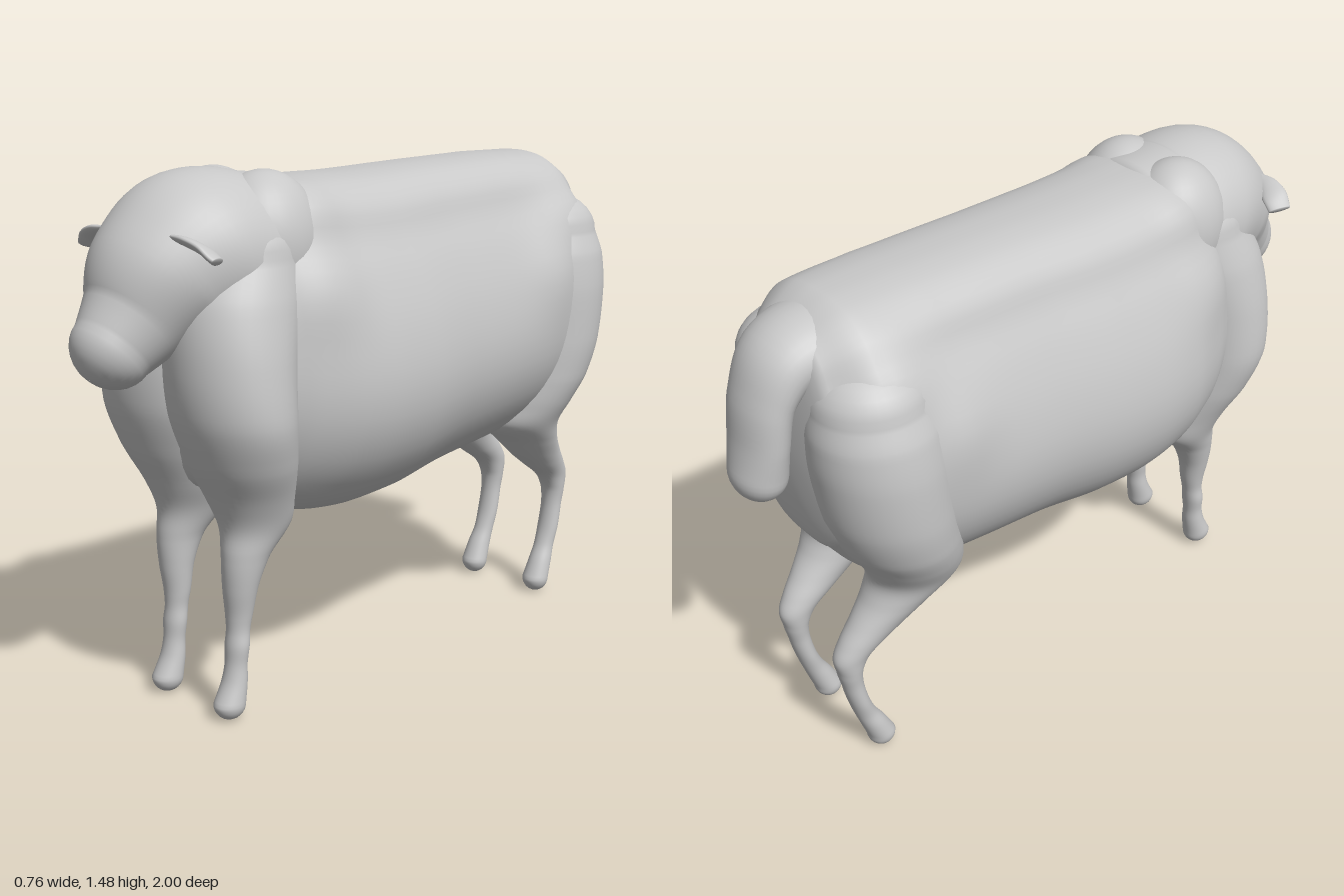
import * as THREE from 'three';

const X = new THREE.Vector3(1, 0, 0);
const Y = new THREE.Vector3(0, 1, 0);
const Z = new THREE.Vector3(0, 0, 1);

// Half outline of the trunk section, bottom to top: broad ribs, narrower back ridge
const trunkHalf = [
  [0, -1], [0.42, -0.957], [0.77, -0.72], [0.95, -0.45], [1, -0.17], [0.94, 0.15],
  [0.8, 0.45], [0.66, 0.66], [0.57, 0.83], [0.4, 0.945], [0.2, 0.99], [0, 1],
];

function ellipse(n) {
  return Array.from({ length: n }, (_, i) => {
    const a = (i / n) * Math.PI * 2;
    return [Math.cos(a), Math.sin(a)];
  });
}

function trunkSection(n) {
  const left = trunkHalf.slice(1, -1).reverse().map(([x, y]) => [-x, y]);
  const pts = [...trunkHalf, ...left].map(([x, y]) => new THREE.Vector3(x, y, 0));
  const curve = new THREE.CatmullRomCurve3(pts, true);
  return Array.from({ length: n }, (_, i) => {
    const p = curve.getPoint(i / n);
    return [p.x, p.y];
  });
}

// Smooth skin over stations [x, y, z, sideRadius, otherRadius], with domed ends.
// Sections face along the path, or along a fixed axis if one is given.
function loft(stations, { section = ellipse(32), side = X, axis = null, caps = [0.05, 0.05], steps = 6 } = {}) {
  const path = new THREE.CatmullRomCurve3(stations.map((s) => new THREE.Vector3(s[0], s[1], s[2])));
  const size = new THREE.CatmullRomCurve3(stations.map((s) => new THREE.Vector3(s[3], s[4], 0)));
  const count = (stations.length - 1) * steps;
  const domeSteps = 8;
  const rings = [];
  const addRing = (t, offset, scale) => {
    const dir = axis ?? path.getTangent(t);
    const up = dir.clone().cross(side).normalize();
    const across = up.clone().cross(dir);
    const centre = path.getPoint(t).addScaledVector(dir, offset);
    const r = size.getPoint(t).multiplyScalar(scale);
    rings.push(section.map(([u, v]) =>
      centre.clone().addScaledVector(across, u * r.x).addScaledVector(up, v * r.y)));
  };
  for (let k = domeSteps; k > 0; k--) {
    const a = (k / domeSteps) * 1.565;
    addRing(0, -caps[0] * Math.sin(a), Math.cos(a));
  }
  for (let i = 0; i <= count; i++) addRing(i / count, 0, 1);
  for (let k = 1; k <= domeSteps; k++) {
    const a = (k / domeSteps) * 1.565;
    addRing(1, caps[1] * Math.sin(a), Math.cos(a));
  }
  const m = section.length;
  const index = [];
  for (let i = 0; i < rings.length - 1; i++) {
    for (let j = 0; j < m; j++) {
      const a = i * m + j;
      const b = i * m + ((j + 1) % m);
      index.push(a, b, a + m, b, b + m, a + m);
    }
  }
  const geometry = new THREE.BufferGeometry().setFromPoints(rings.flat());
  geometry.setIndex(index);
  geometry.computeVertexNormals();
  return geometry;
}

// Push the skin outward around mirrored points [x, y, z, radius, amount]
function swell(geometry, spots) {
  const pos = geometry.attributes.position;
  const nor = geometry.attributes.normal;
  const p = new THREE.Vector3();
  const n = new THREE.Vector3();
  for (let i = 0; i < pos.count; i++) {
    p.fromBufferAttribute(pos, i);
    n.fromBufferAttribute(nor, i);
    let push = 0;
    for (const [x, y, z, radius, amount] of spots) {
      const d = Math.hypot(Math.abs(p.x) - x, p.y - y, p.z - z) / radius;
      push += amount * Math.exp(-d * d);
    }
    p.addScaledVector(n, push);
    pos.setXYZ(i, p.x, p.y, p.z);
  }
  geometry.computeVertexNormals();
}

export function createModel() {
  const model = new THREE.Group();
  model.name = 'sheep';
  const wool = new THREE.MeshStandardMaterial({ color: 0xc8c8c8 });
  wool.name = 'woolGrey';

  const add = (name, stations, options) => {
    const mesh = new THREE.Mesh(loft(stations, options), wool);
    mesh.name = name;
    model.add(mesh);
    return mesh;
  };
  const addPair = (name, stations, options) => {
    add('left' + name, stations, options);
    add('right' + name, stations.map(([x, ...rest]) => [-x, ...rest]), options);
  };

  // Barrel trunk, from rump to chest, swelling towards hips and shoulder blades
  const trunk = add('trunk', [
    [0, 1.09, -0.8, 0.24, 0.328],
    [0, 1.055, -0.7, 0.305, 0.416],
    [0, 1.032, -0.5, 0.34, 0.44],
    [0, 1.02, -0.35, 0.347, 0.447],
    [0, 1.005, -0.15, 0.352, 0.455],
    [0, 0.985, 0.05, 0.373, 0.467],
    [0, 0.98, 0.2, 0.378, 0.47],
    [0, 0.985, 0.35, 0.36, 0.465],
    [0, 1.0, 0.48, 0.315, 0.45],
    [0, 1.02, 0.6, 0.25, 0.4],
  ], { section: trunkSection(72), axis: Z, caps: [0.05, 0.12] });
  swell(trunk.geometry, [
    [0.32, 1.13, -0.54, 0.13, 0.03],
    [0.24, 1.29, -0.67, 0.12, 0.05],
    [0.27, 1.17, 0.42, 0.12, 0.03],
    [0.2, 1.36, 0.4, 0.1, 0.025],
  ]);

  // Neck, skull and muzzle
  add('head', [
    [0, 1.265, 0.37, 0.225, 0.197],
    [0, 1.25, 0.5, 0.245, 0.224],
    [0, 1.25, 0.63, 0.242, 0.233],
    [0, 1.19, 0.755, 0.2, 0.198],
    [0, 1.105, 0.84, 0.138, 0.137],
    [0, 1.047, 0.9, 0.107, 0.11],
  ], { section: ellipse(48), caps: [0.06, 0.098], steps: 8 });

  // Two soft lumps of the withers
  for (const s of [1, -1]) {
    const lump = new THREE.Mesh(new THREE.SphereGeometry(1, 32, 24), wool);
    lump.name = s > 0 ? 'leftWithers' : 'rightWithers';
    lump.scale.set(0.15, 0.2, 0.165);
    lump.position.set(s * 0.1, 1.277, 0.47);
    model.add(lump);
  }

  // Hanging tail, growing out of the back ridge
  add('tail', [
    [0, 1.32, -0.62, 0.13, 0.1],
    [0, 1.345, -0.74, 0.14, 0.105],
    [0, 1.33, -0.83, 0.125, 0.09],
    [0, 1.25, -0.89, 0.11, 0.068],
    [0, 1.13, -0.915, 0.102, 0.066],
    [0, 1.04, -0.928, 0.09, 0.072],
  ], { caps: [0.05, 0.08] });

  // Forelegs, from hoof through knee to shoulder
  addPair('Foreleg', [
    [0.133, 0.05, 0.652, 0.043, 0.046],
    [0.132, 0.11, 0.632, 0.037, 0.035],
    [0.132, 0.16, 0.625, 0.033, 0.03],
    [0.132, 0.21, 0.62, 0.037, 0.032],
    [0.131, 0.25, 0.615, 0.034, 0.032],
    [0.131, 0.3, 0.61, 0.039, 0.038],
    [0.135, 0.38, 0.606, 0.05, 0.05],
    [0.137, 0.46, 0.587, 0.063, 0.07],
    [0.132, 0.54, 0.548, 0.09, 0.105],
    [0.13, 0.62, 0.562, 0.122, 0.12],
    [0.138, 0.72, 0.595, 0.16, 0.138],
    [0.14, 0.85, 0.625, 0.19, 0.152],
    [0.13, 1.0, 0.622, 0.187, 0.166],
    [0.12, 1.15, 0.59, 0.168, 0.178],
    [0.11, 1.26, 0.55, 0.142, 0.155],
  ], { section: ellipse(40), axis: Y, caps: [0.045, 0.12] });

  // Hind legs, from hoof through hock to thigh
  addPair('HindLeg', [
    [0.132, 0.05, -0.715, 0.043, 0.042],
    [0.132, 0.11, -0.74, 0.037, 0.037],
    [0.13, 0.16, -0.762, 0.033, 0.031],
    [0.13, 0.22, -0.781, 0.036, 0.029],
    [0.13, 0.29, -0.795, 0.035, 0.03],
    [0.13, 0.35, -0.8, 0.04, 0.037],
    [0.13, 0.4, -0.788, 0.046, 0.057],
    [0.133, 0.45, -0.74, 0.058, 0.08],
    [0.138, 0.5, -0.685, 0.073, 0.096],
    [0.144, 0.56, -0.628, 0.096, 0.108],
    [0.15, 0.63, -0.575, 0.125, 0.137],
    [0.155, 0.7, -0.592, 0.155, 0.148],
    [0.158, 0.78, -0.625, 0.18, 0.165],
    [0.162, 0.9, -0.655, 0.192, 0.18],
    [0.165, 1.05, -0.67, 0.189, 0.186],
    [0.162, 1.16, -0.677, 0.177, 0.179],
    [0.155, 1.23, -0.68, 0.156, 0.16],
  ], { section: ellipse(40), axis: Y, caps: [0.045, 0.12] });

  // Small drooping ears
  addPair('Ear', [
    [0.14, 1.328, 0.8, 0.018, 0.008],
    [0.185, 1.32, 0.793, 0.03, 0.012],
    [0.225, 1.302, 0.777, 0.038, 0.013],
    [0.255, 1.278, 0.765, 0.034, 0.012],
  ], { section: ellipse(20), side: new THREE.Vector3(0, 0.5, 1).normalize(), caps: [0.01, 0.004] });

  return model;
}
